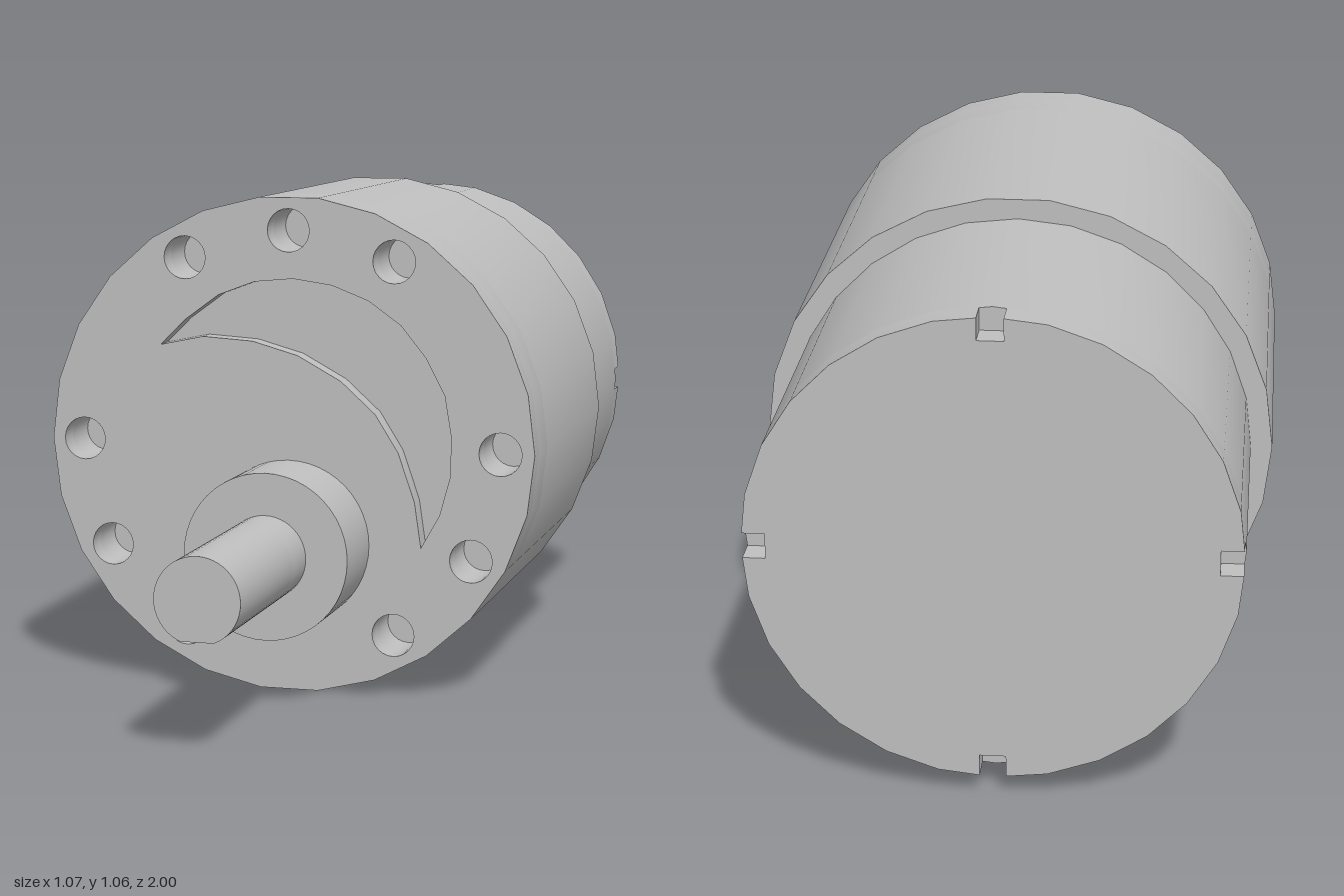
import * as THREE from 'three';
import { toCreasedNormals } from 'three/addons/utils/BufferGeometryUtils.js';

const AXIS_Y = 0.53;   // centre line of the body
const SHAFT_Y = 0.323; // centre line of the offset output shaft

// Points of a regular polygon; the lower side can be cut off flat
function ring(radius, sides, cx = 0, cy = 0, floor = -Infinity) {
  return Array.from({ length: sides }, (_, i) => {
    const a = (i / sides) * Math.PI * 2;
    return new THREE.Vector2(cx + radius * Math.cos(a), cy + Math.max(radius * Math.sin(a), floor));
  });
}

export function createModel() {
  const model = new THREE.Group();
  const metal = new THREE.MeshStandardMaterial({ color: 0xbfbfbf });
  metal.name = 'grey metal';

  // Extrude an outline (with holes) between two z positions
  function slab(name, outline, zBack, zFront, y, holes = []) {
    const shape = new THREE.Shape(outline);
    shape.holes = holes.map((h) => new THREE.Path(h));
    const geo = new THREE.ExtrudeGeometry(shape, { depth: zFront - zBack, bevelEnabled: false });
    const mesh = new THREE.Mesh(toCreasedNormals(geo, 0.5), metal);
    mesh.name = name;
    mesh.position.set(0, y, zBack);
    model.add(mesh);
  }

  // Screw holes on a bolt circle, mirrored left and right
  const screwHoles = [90, 60, 0, -30, -60].flatMap((deg) => {
    const a = THREE.MathUtils.degToRad(deg);
    const x = 0.46 * Math.cos(a), y = 0.46 * Math.sin(a);
    return (deg === 90 ? [0] : [x, -x]).map((cx) => ring(0.046, 24, cx, y));
  });

  // Crescent recess: outer arc, then back along the inner arc
  const crescent = [
    [-0.285, 0.74], [-0.23, 0.795], [-0.155, 0.85], [-0.075, 0.88], [0.01, 0.888],
    [0.095, 0.876], [0.175, 0.845], [0.245, 0.795], [0.3, 0.727], [0.34, 0.65],
    [0.355, 0.56], [0.352, 0.475], [0.33, 0.395], [0.29, 0.323],
    [0.276, 0.42], [0.24, 0.525], [0.19, 0.605], [0.115, 0.673],
    [0.02, 0.725], [-0.08, 0.753], [-0.19, 0.76],
  ].map(([x, y]) => new THREE.Vector2(x, y - AXIS_Y));

  // Gearbox housing in three layers: recessed face, drilled layer, solid rear
  const housing = ring(0.533, 26);
  slab('gearboxFace', housing, 0.315, 0.36, AXIS_Y, [...screwHoles, crescent]);
  slab('gearboxDrilledLayer', housing, 0.22, 0.315, AXIS_Y, screwHoles);
  slab('gearboxBody', housing, -0.43, 0.22, AXIS_Y);

  // Motor can, with four notches in the rear rim
  const R = 0.488, SIDES = 28, HALF = 0.026, INNER = 0.44;
  const can = ring(R, SIDES);
  const rim = can.flatMap((p, i) => {
    if (i % 7) return [p];
    const a = (i / SIDES) * Math.PI * 2;
    const edge = R - HALF * Math.tan(Math.PI / SIDES);
    return [[edge, -HALF], [INNER, -HALF], [INNER, HALF], [edge, HALF]]
      .map(([x, y]) => new THREE.Vector2(x, y).rotateAround(new THREE.Vector2(), a));
  });
  slab('motorCan', can, -0.945, -0.43, AXIS_Y);
  slab('motorNotchedRim', rim, -1, -0.945, AXIS_Y);

  // Output boss and shaft with a flat on its underside
  slab('shaftBoss', ring(0.177, 48), 0.36, 0.54, SHAFT_Y);
  slab('shaftRoot', ring(0.088, 48), 0.54, 0.64, SHAFT_Y);
  slab('shaftWithFlat', ring(0.088, 48, 0, 0, -0.081), 0.64, 1, SHAFT_Y);

  return model;
}
